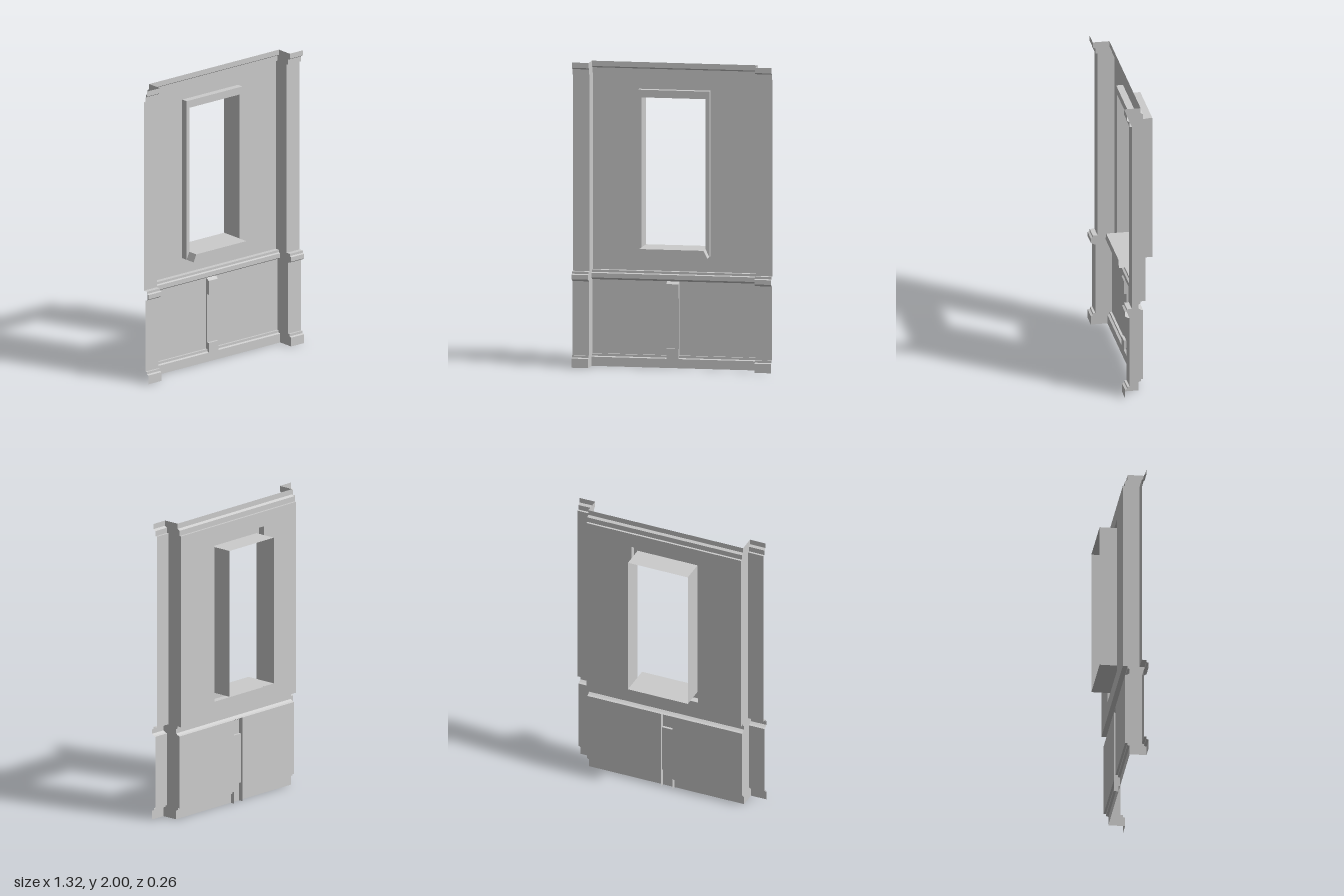
import * as THREE from 'three';

const material = new THREE.MeshStandardMaterial({ color: 0xcccccc, flatShading: true, side: THREE.DoubleSide });

// Moulded outline of a pilaster, as [z, y] going up
const lower = [[0.13, 0], [0.13, 0.06], [0.115, 0.065], [0.115, 0.08], [0.1, 0.08], [0.1, 0.565]];
const band = [[0.1, 0.565], [0.115, 0.57], [0.13, 0.58], [0.13, 0.61], [0.117, 0.615], [0.117, 0.63], [0.085, 0.63]];
const cornice = [[0.085, 1.92], [0.1, 1.92], [0.1, 1.955], [0.117, 1.965], [0.117, 2]];
const full = [...lower, ...band.slice(1), ...cornice];

const RECESS = -0.11;   // wall plane relative to the pilasters
const HALF = 0.66, INNER = 0.55;
const WALL_Z = 0.085 + RECESS;
const FRAME_Z = 0.02;
const outer = { x0: -0.243, x1: 0.23, y0: 0.735, y1: 1.82 };
const opening = { x0: -0.22, x1: 0.205, y0: 0.785, y1: 1.77 };

export function createModel() {
  const model = new THREE.Group();

  const add = (name, geometry) => {
    const mesh = new THREE.Mesh(geometry, material);
    mesh.name = name;
    model.add(mesh);
    return mesh;
  };

  // Skin joining consecutive rows of points
  const skin = (name, rows) => {
    const p = [];
    for (let r = 0; r + 1 < rows.length; r++) {
      const a = rows[r], b = rows[r + 1];
      for (let i = 0; i + 1 < a.length; i++) {
        p.push(...a[i], ...b[i], ...b[i + 1], ...a[i], ...b[i + 1], ...a[i + 1]);
      }
    }
    const g = new THREE.BufferGeometry();
    g.setAttribute('position', new THREE.Float32BufferAttribute(p, 3));
    g.computeVertexNormals();
    return add(name, g);
  };

  // Outline swept through [x, z offset] stations
  const sweep = (name, profile, stations) =>
    skin(name, stations.map(([x, dz]) => profile.map(([z, y]) => [x, y, z + dz])));

  const corners = (r) => [[r.x0, r.y0], [r.x1, r.y0], [r.x1, r.y1], [r.x0, r.y1]];

  // Flat rectangle with a rectangular hole
  const holedPlate = (name, rect, hole, z) => {
    const toPoints = (r) => corners(r).map(([x, y]) => new THREE.Vector2(x, y));
    const shape = new THREE.Shape(toPoints(rect));
    shape.holes.push(new THREE.Path(toPoints(hole).reverse()));
    add(name, new THREE.ShapeGeometry(shape)).position.z = z;
  };

  // Four sides of a rectangular sleeve
  const sleeve = (name, rect, zBack, zFront) => {
    const c = corners(rect);
    skin(name, [...c, c[0]].map(([x, y]) => [[x, y, zBack], [x, y, zFront]]));
  };

  // Pilasters with their inner returns
  sweep('rightPilaster', full, [[-HALF, 0], [-INNER, 0], [-INNER, RECESS]]);
  sweep('leftPilaster', full, [[INNER, RECESS], [INNER, 0], [HALF, 0]]);

  // Recessed wall: lower panels, band, window wall and cornice
  const stripX = [-0.055, 0.025];
  sweep('rightLowerPanel', lower, [[-INNER, RECESS], [stripX[0], RECESS]]);
  sweep('leftLowerPanel', lower, [[stripX[1], RECESS], [INNER, RECESS]]);
  sweep('wallBand', band, [[-INNER, RECESS], [INNER, RECESS]]);
  sweep('wallCornice', cornice, [[-INNER, RECESS], [INNER, RECESS]]);
  holedPlate('windowWall', { x0: -INNER, x1: INNER, y0: 0.63, y1: 1.92 }, outer, WALL_Z);

  // Small strip between the panels, with a cap block and a foot block
  const strip = [[0.02, 0], [0.02, 0.125], [0.003, 0.125], [0.003, 0.455], [0.02, 0.455], [0.02, 0.55], [-0.01, 0.565]];
  const flat = strip.map(([, y]) => [-0.01, y]);
  const row = (profile, x) => profile.map(([z, y]) => [x, y, z]);
  skin('centreStrip', [row(flat, stripX[0]), row(strip, stripX[0]), row(strip, stripX[1]), row(flat, stripX[1])]);

  // Window: raised surround, and a deep reveal running out behind the wall
  holedPlate('windowSurround', outer, opening, FRAME_Z);
  sleeve('windowSurroundEdge', outer, WALL_Z, FRAME_Z);
  sleeve('windowReveal', opening, -0.135, FRAME_Z);

  // Projecting sill with slanted ends
  const sillEnds = [
    [outer.x0, outer.y0], [outer.x1, outer.y0],
    [opening.x1, opening.y0], [opening.x0, opening.y0],
  ];
  const sill = new THREE.Shape(sillEnds.map(([x, y]) => new THREE.Vector2(x, y)));
  add('windowSill', new THREE.ExtrudeGeometry(sill, { depth: 0.07, bevelEnabled: false })).position.z = FRAME_Z;

  return model;
}
